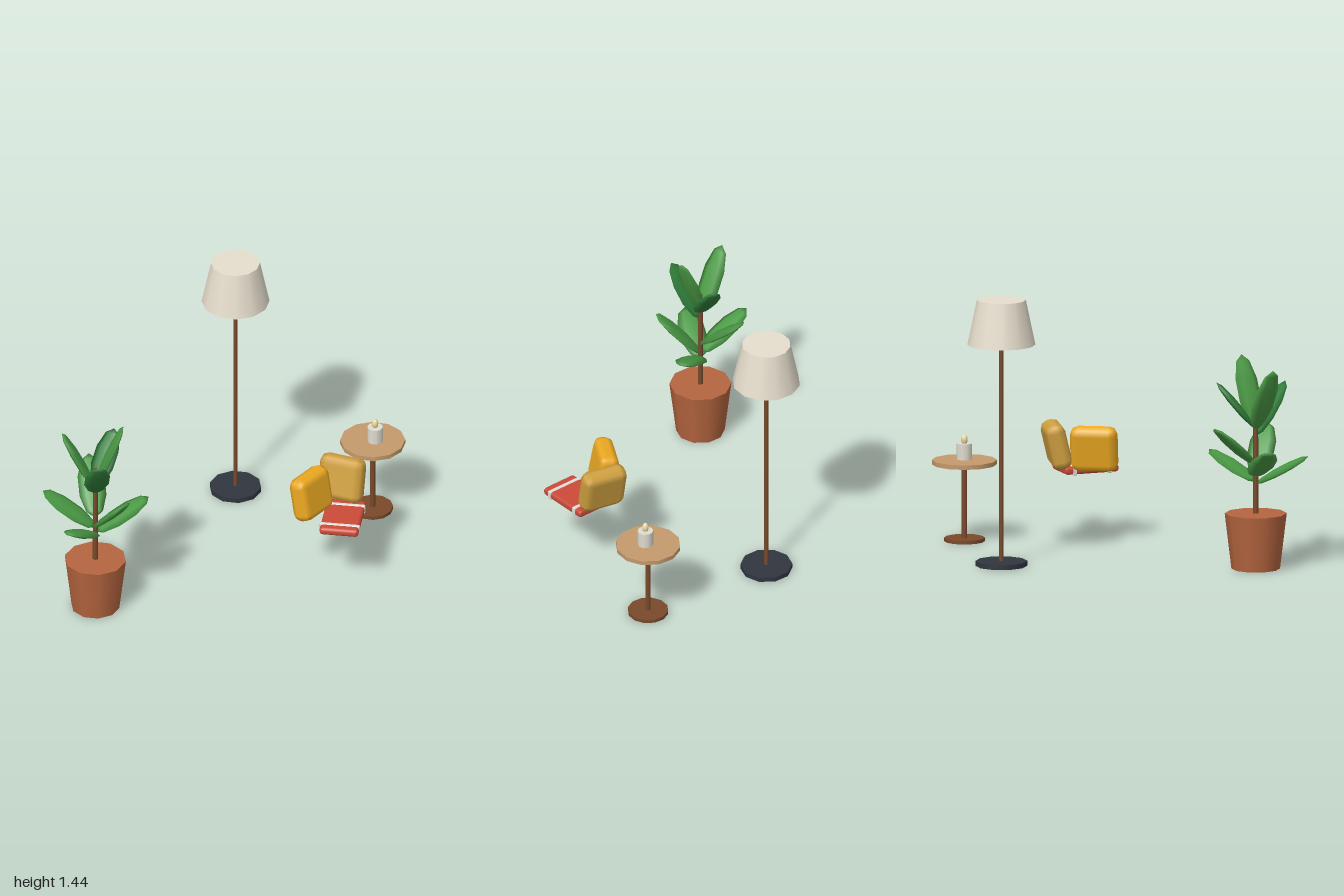
import * as THREE from 'three';
import { RoundedBoxGeometry } from 'three/addons/geometries/RoundedBoxGeometry.js';

const mat = (color) => new THREE.MeshStandardMaterial({ color });
const terracotta = mat(0xb5653f), wood = mat(0x7a4a2c), tan = mat(0xc49a6c), iron = mat(0x30353f);
const linen = mat(0xe6decd), lightLeaf = mat(0x4a9a45), darkLeaf = mat(0x2f7d3a);
const amber = mat(0xeeaa22), ochre = mat(0xd0a040), red = mat(0xcc4b38), white = mat(0xe4e0d8);
const wax = mat(0xe0dcd0), flameColor = mat(0xf0dca0);

function add(parent, name, geometry, material, x = 0, y = 0, z = 0) {
  const mesh = new THREE.Mesh(geometry, material);
  mesh.name = name;
  mesh.position.set(x, y, z);
  parent.add(mesh);
  return mesh;
}

function group(parent, name, x, y, z) {
  const g = new THREE.Group();
  g.name = name;
  g.position.set(x, y, z);
  parent.add(g);
  return g;
}

// Upright drum standing between two heights
function drum(parent, name, rTop, rBottom, y0, y1, sides, material, x = 0) {
  return add(parent, name, new THREE.CylinderGeometry(rTop, rBottom, y1 - y0, sides), material, x, (y0 + y1) / 2, 0);
}

// Flattened leaf from a point on the stem to its tip, broad side up
function leaf(parent, baseY, tip, halfWidth, material) {
  const base = new THREE.Vector3(0, baseY, 0), end = new THREE.Vector3(...tip);
  const along = end.clone().sub(base);
  const length = along.length();
  along.normalize();
  const across = new THREE.Vector3().crossVectors(along, new THREE.Vector3(0, 1, 0)).normalize();
  const normal = new THREE.Vector3().crossVectors(across, along);
  const geo = new THREE.SphereGeometry(1, 6, 5);
  geo.scale(halfWidth, length / 2, 0.02);
  const mesh = add(parent, 'leaf', geo, material);
  mesh.position.copy(base).add(end).multiplyScalar(0.5);
  mesh.quaternion.setFromRotationMatrix(new THREE.Matrix4().makeBasis(across, along, normal));
}

function cushion(parent, name, material, position, rotation) {
  const mesh = add(parent, name, new RoundedBoxGeometry(0.255, 0.25, 0.11, 1, 0.045), material, ...position);
  mesh.rotation.set(...rotation, 'YXZ');
}

export function createModel() {
  const model = new THREE.Group();
  model.name = 'livingRoomSet';

  // Potted plant: pot, stem and two tiers of leaves
  const plant = group(model, 'pottedPlant', -0.445, 0, 0.717);
  drum(plant, 'pot', 0.166, 0.13, 0, 0.3, 10, terracotta);
  drum(plant, 'stem', 0.013, 0.015, 0.29, 0.87, 8, wood);
  const lowerLeaves = [
    [0.46, [-0.01, 0.61, 0.28]],
    [0.50, [-0.285, 0.68, 0.065]],
    [0.50, [0.23, 0.755, 0.065]],
    [0.56, [-0.165, 0.79, -0.225]],
    [0.47, [0.19, 0.615, -0.245]],
  ];
  for (const [y, tip] of lowerLeaves) leaf(plant, y, tip, 0.076, lightLeaf);
  const upperLeaves = [
    [0.75, [-0.155, 1.1, 0.09], lightLeaf],
    [0.77, [0.13, 1.14, -0.075], lightLeaf],
    [0.72, [0.11, 1.0, 0.16], darkLeaf],
    [0.76, [0, 1.01, -0.21], darkLeaf],
  ];
  for (const [y, tip, material] of upperLeaves) leaf(plant, y, tip, 0.07, material);

  // Floor lamp
  const lamp = group(model, 'floorLamp', -0.34, 0, -0.64);
  drum(lamp, 'lampBase', 0.139, 0.139, 0, 0.026, 10, iron);
  drum(lamp, 'lampPole', 0.012, 0.012, 0.02, 1.22, 8, wood);
  drum(lamp, 'lampShade', 0.131, 0.182, 1.2, 1.443, 12, linen);

  // Side table with a candle
  const table = group(model, 'sideTable', 0.395, 0, -0.825);
  drum(table, 'tableFoot', 0.109, 0.109, 0, 0.019, 12, wood);
  drum(table, 'tableLeg', 0.015, 0.015, 0.015, 0.42, 8, wood);
  drum(table, 'tableTop', 0.174, 0.174, 0.417, 0.441, 12, tan);
  drum(table, 'candle', 0.042, 0.042, 0.441, 0.528, 10, wax, 0.015);
  const flame = add(table, 'flame', new THREE.SphereGeometry(0.018, 8, 6), flameColor, 0.015, 0.548, 0);
  flame.scale.y = 1.6;

  // Two leaning cushions
  cushion(model, 'leftCushion', amber, [0.403, 0.498, -0.132], [0, Math.PI / 2 - 0.16, 0]);
  // Tip the first cushion sideways about its own long edge
  model.getObjectByName('leftCushion').rotateX(-0.18);
  cushion(model, 'backCushion', ochre, [0.48, 0.507, -0.333], [-0.23, 0.13, 0]);

  // Folded blanket with two bands
  const blanket = group(model, 'blanket', 0.571, 0.37, -0.175);
  blanket.rotation.y = 0.36;
  add(blanket, 'blanketBody', new RoundedBoxGeometry(0.21, 0.042, 0.308, 1, 0.016), red);
  for (const z of [-0.1, 0.1]) {
    add(blanket, 'blanketBand', new RoundedBoxGeometry(0.216, 0.048, 0.024, 1, 0.006), white, 0, 0, z);
  }
  return model;
}
